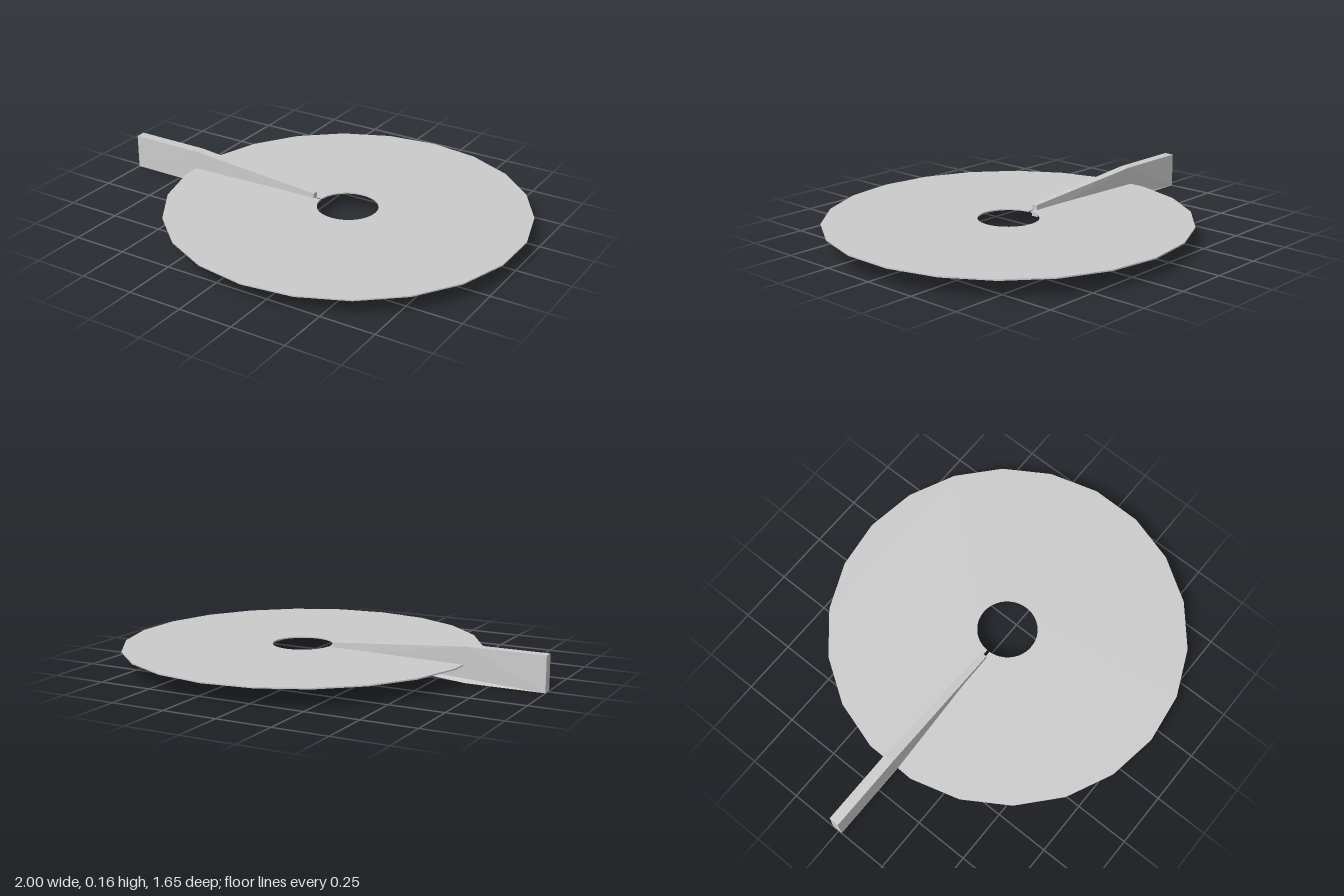
import * as THREE from 'three';

const material = new THREE.MeshStandardMaterial({ color: 0xcccccc, flatShading: true });

// Thin 22-sided disc with a round hole and a tapering radial slot
function makeDisc() {
  const cx = 0.18, radius = 0.823, holeRadius = 0.138, sides = 22, thickness = 0.006;
  const step = (Math.PI * 2) / sides;
  const points = [new THREE.Vector2(-0.634, -0.048)];
  for (let i = 0; i < sides; i++) {
    const a = Math.PI + step * (i + 0.5) + 0.01;
    points.push(new THREE.Vector2(cx + radius * Math.cos(a), radius * Math.sin(a)));
  }
  points.push(new THREE.Vector2(-0.634, 0.036));
  // Inner rim, run back from one side of the slot to the other
  const holeSteps = 48, gap = 0.04;
  for (let i = 0; i <= holeSteps; i++) {
    const a = Math.PI - gap - ((Math.PI * 2 - gap * 2.2) * i) / holeSteps;
    points.push(new THREE.Vector2(cx + holeRadius * Math.cos(a), holeRadius * Math.sin(a)));
  }
  const geometry = new THREE.ExtrudeGeometry(new THREE.Shape(points), { depth: thickness, bevelEnabled: false });
  geometry.rotateX(Math.PI / 2); // shape y becomes z
  geometry.translate(0, 0.082 + thickness / 2, 0);
  const disc = new THREE.Mesh(geometry, material);
  disc.name = 'slottedDisc';
  return disc;
}

// Straight bar that narrows in height and width towards the hole
function makeArm() {
  const shape = new THREE.Shape([
    [-1, 0], [-0.64, 0], [0.01, 0.053], [0.01, 0.108], [-0.64, 0.161], [-1, 0.161],
  ].map(([x, y]) => new THREE.Vector2(x, y)));
  const geometry = new THREE.ExtrudeGeometry(shape, { depth: 1, bevelEnabled: false });
  const pos = geometry.attributes.position;
  for (let i = 0; i < pos.count; i++) {
    const t = Math.max(0, (pos.getX(i) + 0.64) / 0.65);
    const back = THREE.MathUtils.lerp(-0.03, -0.015, t);
    const front = THREE.MathUtils.lerp(0.017, 0.014, t);
    pos.setZ(i, THREE.MathUtils.lerp(back, front, pos.getZ(i)));
  }
  geometry.computeVertexNormals();
  const arm = new THREE.Mesh(geometry, material);
  arm.name = 'taperedArm';
  return arm;
}

export function createModel() {
  const group = new THREE.Group();
  group.name = 'discWithArm';
  group.add(makeDisc(), makeArm());
  return group;
}
